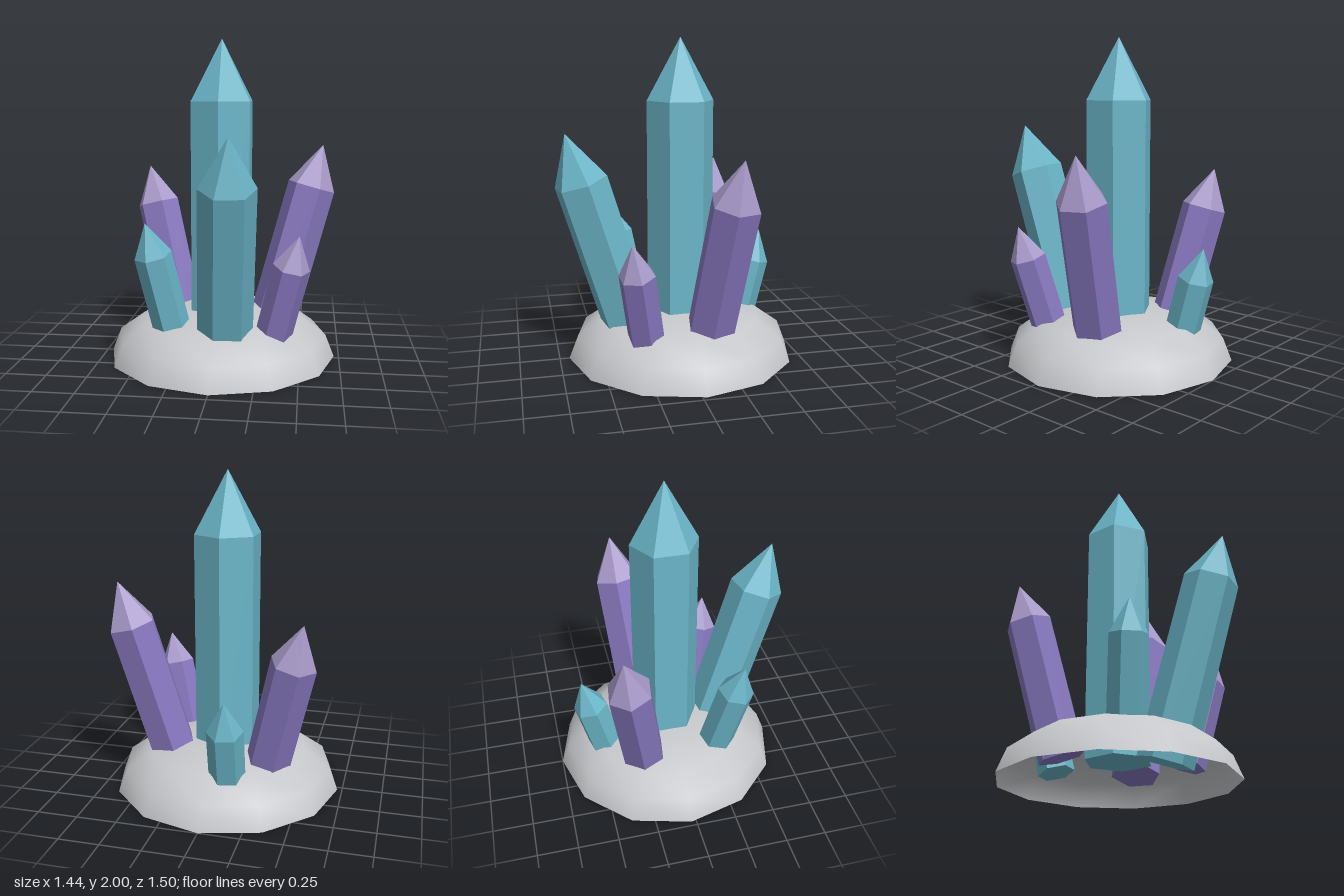
import * as THREE from 'three';

function makeMaterial(name, color, side = THREE.FrontSide) {
  const m = new THREE.MeshStandardMaterial({ color, side });
  m.name = name;
  return m;
}

// Split shared corners so every facet is flat
function faceted(geometry) {
  const g = geometry.toNonIndexed();
  g.computeVertexNormals();
  return g;
}

// Six-sided shaft from foot to shoulder, with a pointed cap along the same axis
function crystal({ name, foot, shoulder, r, twist }, shaftMaterial, tipMaterial) {
  const a = new THREE.Vector3(...foot);
  const axis = new THREE.Vector3(...shoulder).sub(a);
  const length = axis.length();
  const tipLength = r * 1.81;
  const turn = THREE.MathUtils.degToRad(twist);

  const shaftGeo = new THREE.CylinderGeometry(r, r, length, 6, 1);
  shaftGeo.rotateY(turn).translate(0, length / 2, 0);
  const shaft = new THREE.Mesh(faceted(shaftGeo), shaftMaterial);
  shaft.name = name + 'Shaft';

  const tipGeo = new THREE.ConeGeometry(r, tipLength, 6, 1, true);
  tipGeo.rotateY(turn).translate(0, length + tipLength / 2, 0);
  const tip = new THREE.Mesh(faceted(tipGeo), tipMaterial);
  tip.name = name + 'Tip';

  const group = new THREE.Group();
  group.name = name;
  group.add(shaft, tip);
  group.position.copy(a);
  group.quaternion.setFromUnitVectors(new THREE.Vector3(0, 1, 0), axis.normalize());
  return group;
}

export function createModel() {
  const model = new THREE.Group();
  model.name = 'crystalCluster';

  const stone = makeMaterial('stone grey', 0xc6c8cb, THREE.DoubleSide);
  const teal = makeMaterial('teal crystal', 0x6bb6c9);
  const purple = makeMaterial('purple crystal', 0x8a7ac2);
  const lilac = makeMaterial('lilac tip', 0xa99bcb);

  // Hollow, open-bottomed rock dome
  const profile = [[0.72, 0], [0.665, 0.14], [0.51, 0.252], [0.275, 0.3], [0, 0.32]]
    .map(([x, y]) => new THREE.Vector2(x, y));
  const base = new THREE.Mesh(new THREE.LatheGeometry(profile, 12), stone);
  base.name = 'rockBase';
  base.position.z = -0.03;
  model.add(base);

  // Teal crystals
  [
    { name: 'centreCrystal', foot: [0, 0.12, -0.03], shoulder: [0, 1.62, -0.03], r: 0.21, twist: 0 },
    { name: 'frontCrystal', foot: [0.05, 0.08, 0.268], shoulder: [0.1, 1.155, 0.6], r: 0.168, twist: 40 },
    { name: 'backCrystal', foot: [-0.1, 0.1, -0.425], shoulder: [-0.11, 0.553, -0.543], r: 0.11, twist: 43 },
    { name: 'frontRightCrystal', foot: [-0.25, 0.1, 0.22], shoulder: [-0.373, 0.714, 0.335], r: 0.114, twist: 47 },
  ].forEach((c) => model.add(crystal(c, teal, teal)));

  // Purple crystals with paler tips
  [
    { name: 'leftCrystal', foot: [0.3, 0.12, -0.133], shoulder: [0.56, 1.07, -0.228], r: 0.153, twist: 21 },
    { name: 'backRightCrystal', foot: [-0.277, 0.12, -0.225], shoulder: [-0.472, 0.93, -0.352], r: 0.141, twist: 22 },
    { name: 'frontLeftCrystal', foot: [0.322, 0.12, 0.236], shoulder: [0.45, 0.657, 0.325], r: 0.112, twist: 35 },
  ].forEach((c) => model.add(crystal(c, purple, lilac)));

  return model;
}
